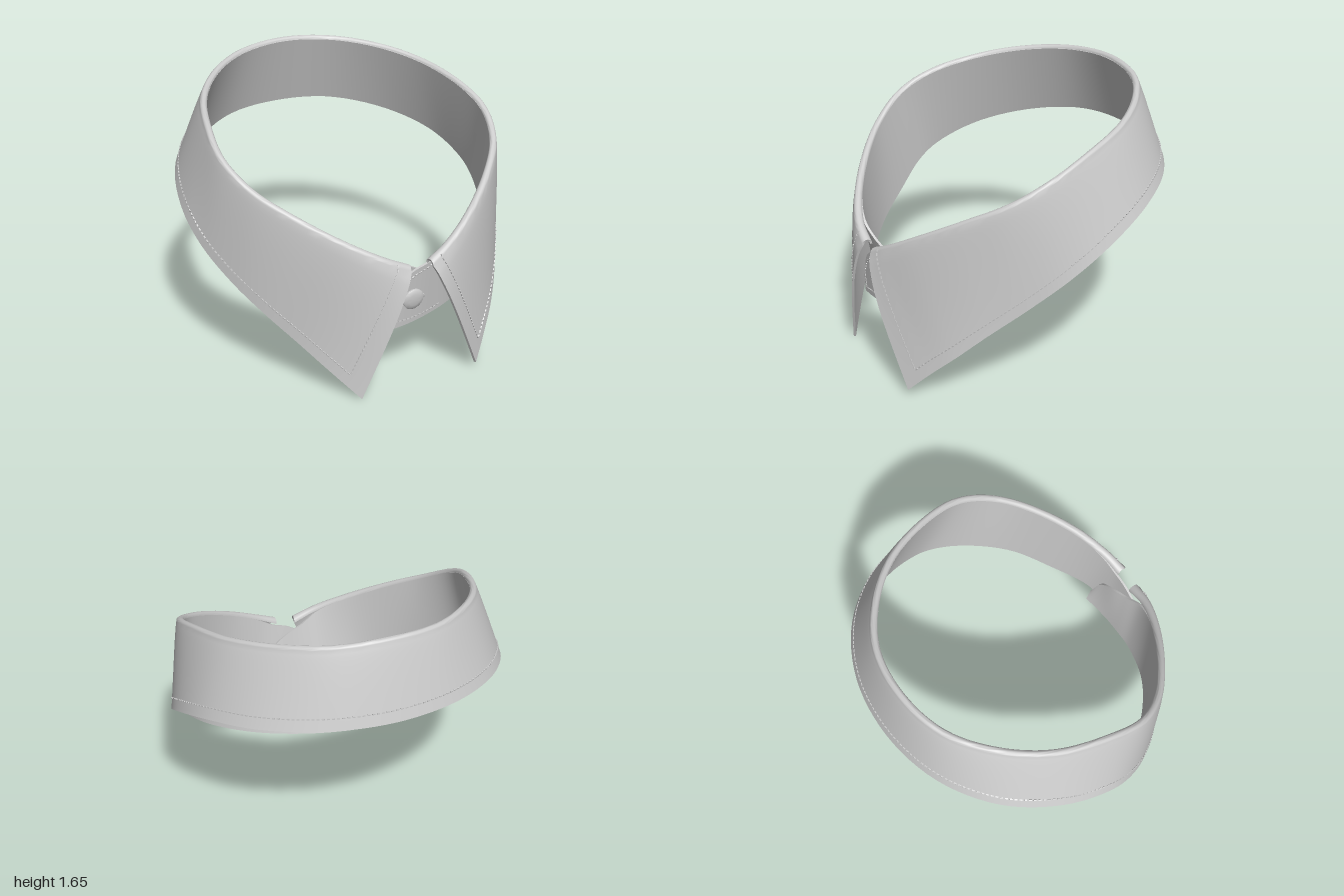
import * as THREE from 'three';
import { mergeGeometries, toCreasedNormals } from 'three/addons/utils/BufferGeometryUtils.js';

const V = (x, y, z) => new THREE.Vector3(x, y, z);
const UP = V(0, 1, 0);
const THICK = 0.014;

// Guide lines: shared half from centre back to the sides, then each side's front run.
const FOLD = [[0, 1.645, -0.806], [0.3, 1.628, -0.752], [0.55, 1.592, -0.58], [0.74, 1.533, -0.33], [0.842, 1.452, -0.02]];
const FOLD_RIGHT = [[-0.86, 1.35, 0.2], [-0.777, 1.222, 0.4], [-0.62, 1.105, 0.575], [-0.4, 0.97, 0.745]];
const FOLD_LEFT = [[0.862, 1.362, 0.22], [0.79, 1.25, 0.43], [0.63, 1.135, 0.61], [0.4, 0.988, 0.775]];
const HEM = [[0, 1.2, -0.95], [0.38, 1.193, -0.885], [0.7, 1.158, -0.69], [0.91, 1.085, -0.4], [0.993, 0.95, -0.09]];
const BASE = [[0, 1.19, -0.935], [0.365, 1.175, -0.87], [0.675, 1.11, -0.66], [0.865, 1.02, -0.38], [0.925, 0.915, -0.11]];

// Horizontal direction away from the neck.
const outward = p => V(p.x, 0, p.z - 0.05).normalize();

// Full guide curve: right front run, mirrored half, half, left front run.
function guide(half, rightEnd, leftEnd) {
  const right = [...half.slice(1).map(([x, y, z]) => [-x, y, z]), ...rightEnd].reverse();
  return new THREE.CatmullRomCurve3([...right, ...half, ...leftEnd].map(p => V(...p)));
}

// Surface normal of fn(u, v).
function normalAt(fn, u, v) {
  const e = 0.002, c = x => Math.min(1, Math.max(0, x));
  const du = fn(c(u + e), v).sub(fn(c(u - e), v));
  const dv = fn(u, c(v + e)).sub(fn(u, c(v - e)));
  return du.cross(dv).normalize();
}

// Closed sheet of cloth with thickness around fn(u, v).
function sheet(fn, nu, nv) {
  const pos = [], idx = [], ring = 2 * (nv + 1);
  for (let i = 0; i <= nu; i++) {
    const front = [], back = [];
    for (let j = 0; j <= nv; j++) {
      const u = i / nu, v = j / nv, p = fn(u, v), n = normalAt(fn, u, v).multiplyScalar(THICK / 2);
      front.push(p.clone().add(n));
      back.unshift(p.clone().sub(n));
    }
    for (const p of [...front, ...back]) pos.push(p.x, p.y, p.z);
  }
  const quad = (a, b, c, d) => idx.push(a, b, c, a, c, d);
  for (let i = 0; i < nu; i++) {
    for (let k = 0; k < ring; k++) {
      const m = (k + 1) % ring;
      quad(i * ring + k, (i + 1) * ring + k, (i + 1) * ring + m, i * ring + m);
    }
  }
  const end = nu * ring;
  for (let j = 0; j < nv; j++) {
    const b = ring - 1 - j;
    quad(j, j + 1, b - 1, b);
    quad(end + b, end + b - 1, end + j + 1, end + j);
  }
  const g = new THREE.BufferGeometry();
  g.setAttribute('position', new THREE.Float32BufferAttribute(pos, 3));
  g.setIndex(idx);
  return toCreasedNormals(g, 0.9);
}

// Row of small thread dashes along a path of (u, v) on the outside of fn.
function stitches(fn, path, samples = 60) {
  const pts = [];
  for (let i = 0; i <= samples; i++) {
    const [u, v] = path(i / samples);
    pts.push(fn(u, v).addScaledVector(normalAt(fn, u, v), THICK / 2 + 0.001));
  }
  const curve = new THREE.CatmullRomCurve3(pts);
  const count = Math.round(curve.getLength() / 0.027);
  const dashes = [];
  for (let i = 0; i < count; i++) {
    const t = (i + 0.5) / count;
    const g = new THREE.BoxGeometry(0.007, 0.007, 0.016);
    g.applyQuaternion(new THREE.Quaternion().setFromUnitVectors(V(0, 0, 1), curve.getTangentAt(t)));
    const p = curve.getPointAt(t);
    dashes.push(g.translate(p.x, p.y, p.z));
  }
  return mergeGeometries(dashes);
}

export function createModel() {
  const group = new THREE.Group();
  const mat = new THREE.MeshStandardMaterial({ color: 0xcccccc, side: THREE.DoubleSide });
  const add = (name, geo, parent = group) => {
    const m = new THREE.Mesh(geo, mat);
    m.name = name;
    parent.add(m);
    return m;
  };

  // Turned-down leaf: rolled fold over the band, then the fall to the hem and points
  const fold = guide(FOLD,
    [...FOLD_RIGHT, [-0.2, 0.865, 0.845], [-0.055, 0.798, 0.872]],
    [...FOLD_LEFT, [0.2, 0.87, 0.86], [0.075, 0.808, 0.885]]);
  const hem = guide(HEM,
    [[-0.965, 0.8, 0.12], [-0.868, 0.63, 0.32], [-0.745, 0.475, 0.48], [-0.613, 0.325, 0.605], [-0.476, 0.165, 0.735], [-0.335, 0.005, 0.855]],
    [[0.97, 0.8, 0.15], [0.875, 0.63, 0.365], [0.755, 0.46, 0.555], [0.645, 0.31, 0.69], [0.535, 0.18, 0.79], [0.42, 0.04, 0.88]]);
  const ROLL = 0.28, RADIUS = 0.014;
  const leaf = (u, v) => {
    const f = fold.getPoint(u), o = outward(f);
    const ends = Math.pow(Math.abs(2 * u - 1), 6);
    const r = RADIUS + 0.012 * ends;
    const c = f.clone().addScaledVector(UP, -r);
    if (v < ROLL) {
      const a = Math.PI * v / ROLL;
      return c.addScaledVector(o, -r * Math.cos(a)).addScaledVector(UP, r * Math.sin(a));
    }
    const s = (v - ROLL) / (1 - ROLL);
    return c.addScaledVector(o, r).lerp(hem.getPoint(u), s)
      .addScaledVector(o, (0.004 + 0.038 * ends) * Math.sin(Math.PI * Math.pow(s, 0.6)));
  };
  add('collarLeaf', sheet(leaf, 120, 32));

  // Leaf stitching: parallel to the hem and to both front edges
  const inset = u => 1 - (1 - ROLL) * 0.075 / fold.getPoint(u).distanceTo(hem.getPoint(u));
  const U0 = 0.026;
  add('hemStitching', stitches(leaf, t => {
    const u = U0 + t * (1 - 2 * U0);
    return [u, inset(u)];
  }, 120));
  for (const [name, u] of [['rightEdgeStitching', U0], ['leftEdgeStitching', 1 - U0]]) {
    add(name, stitches(leaf, t => [u, 0.2 + t * (inset(u) - 0.2)]));
  }

  // Neck band: right end tucks inside, left end overlaps it as a rounded tab
  const underFold = points => points.map(([x, y, z]) => {
    const p = V(x, y - RADIUS, z);
    return p.addScaledVector(outward(p), -RADIUS).toArray();
  });
  const bandTop = guide(underFold(FOLD),
    [...underFold(FOLD_RIGHT), [-0.2, 0.85, 0.81], [-0.08, 0.775, 0.8], [0.02, 0.735, 0.785], [0.12, 0.66, 0.775], [0.175, 0.5, 0.745]],
    [...underFold(FOLD_LEFT), [0.2, 0.85, 0.835], [0.09, 0.78, 0.85], [-0.01, 0.745, 0.85], [-0.11, 0.67, 0.845], [-0.185, 0.5, 0.83]]);
  const bandBase = guide(BASE,
    [[-0.905, 0.83, 0.05], [-0.82, 0.69, 0.24], [-0.67, 0.56, 0.46], [-0.47, 0.465, 0.63],
      [-0.25, 0.42, 0.71], [-0.12, 0.405, 0.725], [-0.01, 0.4, 0.73], [0.09, 0.4, 0.725], [0.18, 0.41, 0.715]],
    [[0.915, 0.83, 0.06], [0.845, 0.695, 0.28], [0.7, 0.565, 0.5], [0.485, 0.465, 0.66],
      [0.26, 0.437, 0.77], [0.12, 0.412, 0.797], [0.01, 0.397, 0.81], [-0.1, 0.39, 0.818], [-0.2, 0.388, 0.82]]);
  const band = (u, v) => bandTop.getPoint(u).lerp(bandBase.getPoint(u), v);
  add('neckBand', sheet(band, 140, 14));

  // Stitching round the tab
  add('tabTopStitching', stitches(band, t => [0.86 + 0.13 * t, 0.08 + 0.08 * t * t]));
  add('tabEndStitching', stitches(band, t => [0.99, 0.16 + 0.62 * t], 12));
  add('tabBaseStitching', stitches(band, t => [0.86 + 0.13 * t, 0.92 - 0.14 * t * t * t]));

  // Button with a domed face, sitting on its buttonhole
  const button = new THREE.Group();
  button.name = 'button';
  button.position.set(-0.005, 0.565, 0.838);
  button.rotation.x = 0.1;
  const profile = [[0, 0], [0.058, 0], [0.065, 0.006], [0.065, 0.014], [0.058, 0.02], [0.035, 0.025], [0, 0.027]];
  const disc = new THREE.LatheGeometry(profile.map(p => new THREE.Vector2(...p)), 32);
  add('buttonDisc', toCreasedNormals(disc.rotateX(Math.PI / 2), 0.7), button);
  const hole = add('buttonhole', new THREE.TorusGeometry(0.07, 0.009, 8, 32), button);
  hole.scale.set(1.05, 0.35, 0.8);
  group.add(button);

  return group;
}
